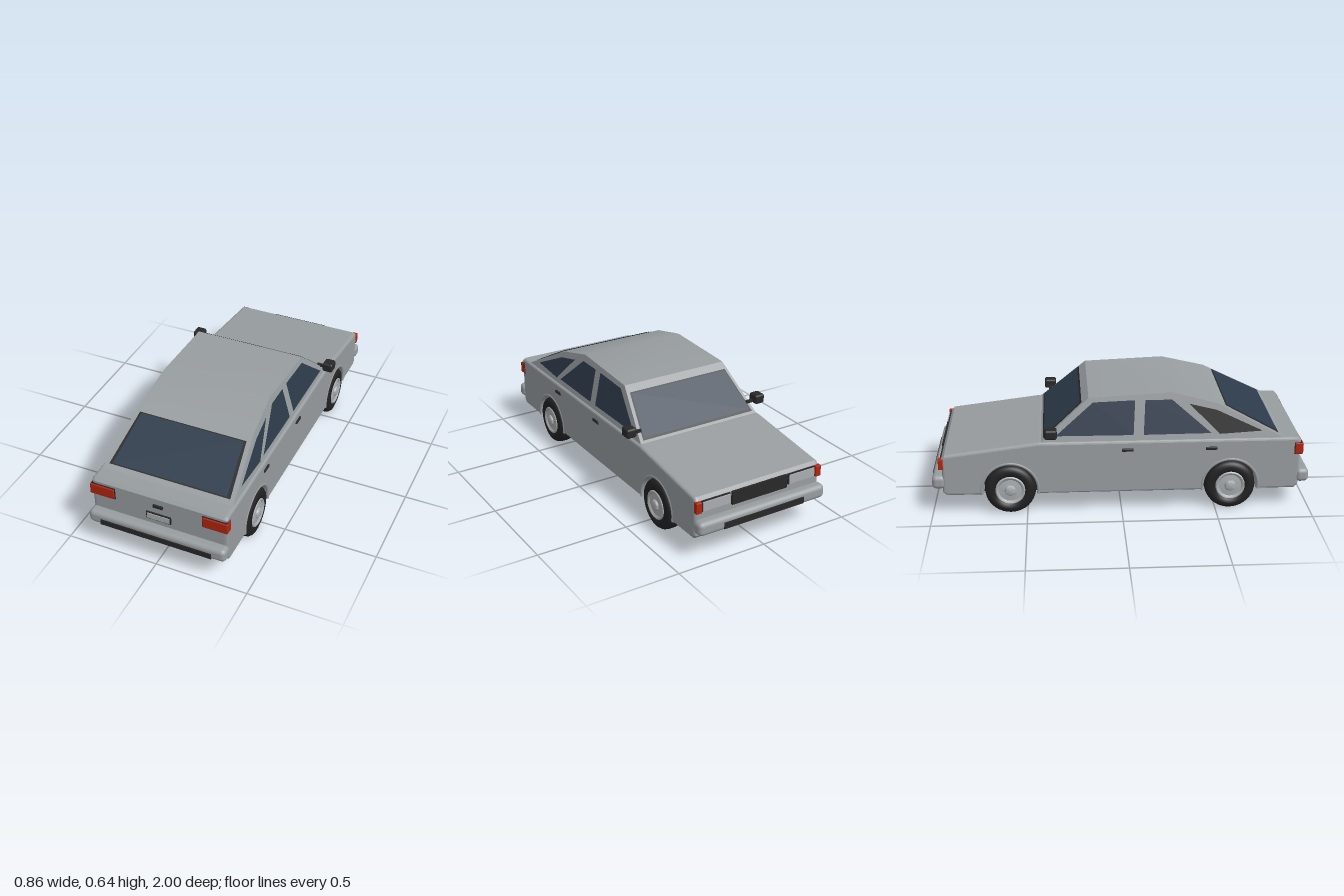
import * as THREE from 'three';
import { toCreasedNormals } from 'three/addons/utils/BufferGeometryUtils.js';
import { RoundedBoxGeometry } from 'three/addons/geometries/RoundedBoxGeometry.js';

const mat = (name, color, extra = {}) => new THREE.MeshStandardMaterial({ name, color, ...extra });

export function createModel() {
  const car = new THREE.Group();
  car.name = 'car';
  const paint = mat('bodyGrey', 0x989da0);
  const trim = mat('blackTrim', 0x282828, { side: THREE.DoubleSide });
  const glass = mat('blueGlass', 0x2e3b4c, { side: THREE.DoubleSide });
  const red = mat('lampRed', 0xb02510);
  const rubber = mat('tyreBlack', 0x222222);
  const light = mat('lightGrey', 0xa9adaf);

  const add = (name, geo, material, parent = car) => {
    const mesh = new THREE.Mesh(geo, material);
    mesh.name = name;
    parent.add(mesh);
    return mesh;
  };
  // Box given by its lower and upper limits, with optional rounded edges
  const box = (name, material, x0, x1, y0, y1, z0, z1, r = 0) => {
    const s = [x1 - x0, y1 - y0, z1 - z0];
    const geo = r ? new RoundedBoxGeometry(...s, 3, r) : new THREE.BoxGeometry(...s);
    const mesh = add(name, geo, material);
    mesh.position.set((x0 + x1) / 2, (y0 + y1) / 2, (z0 + z1) / 2);
    return mesh;
  };
  // The same box on the right and the left
  const pair = (name, material, x0, x1, ...rest) => {
    box(name + 'Left', material, x0, x1, ...rest);
    box(name + 'Right', material, -x1, -x0, ...rest);
  };
  // Flat convex panel through the given corners
  const panel = (name, material, pts) => {
    const geo = new THREE.BufferGeometry().setFromPoints(pts.map((p) => new THREE.Vector3(...p)));
    const idx = [];
    for (let i = 1; i < pts.length - 1; i++) idx.push(0, i, i + 1);
    geo.setIndex(idx);
    geo.computeVertexNormals();
    // Turn the panel so that its front looks away from the car's middle
    const n = new THREE.Vector3().fromBufferAttribute(geo.attributes.normal, 0);
    if (n.dot(new THREE.Vector3(pts[0][0], pts[0][1] - 0.3, pts[0][2])) < 0) {
      geo.setIndex(idx.reverse());
      geo.computeVertexNormals();
    }
    return add(name, geo, material);
  };

  // Lower body: side profile with wheel arches, extruded across the width
  const axles = [-0.587, 0.576], wheelY = 0.135;
  const side = new THREE.Shape();
  side.moveTo(-0.94, 0.13);
  side.lineTo(-0.92, 0.11);
  for (const z of axles) side.absarc(z, wheelY, 0.142, Math.PI + 0.177, -0.177, true);
  for (const [z, y] of [[0.92, 0.11], [0.94, 0.13], [0.945, 0.385], [0.93, 0.4],
    [-0.43, 0.4], [-0.925, 0.338], [-0.94, 0.322]]) side.lineTo(z, y);
  side.closePath();
  const bodyGeo = new THREE.ExtrudeGeometry(side, {
    depth: 0.71, bevelEnabled: true, bevelThickness: 0.018, bevelSize: 0.014,
    bevelOffset: -0.014, bevelSegments: 3, curveSegments: 20,
  });
  bodyGeo.translate(0, 0, -0.355).rotateY(-Math.PI / 2);
  add('lowerBody', bodyGeo, paint);

  // Cabin: side profile leaning inward towards the roof
  const sideX = (y) => 0.36 - (y - 0.4) * 0.24;
  const cab = new THREE.Shape([[0.86, 0.395], [0.505, 0.58], [0.265, 0.64], [-0.17, 0.62], [-0.425, 0.395]]
    .map((p) => new THREE.Vector2(...p)));
  let cabGeo = new THREE.ExtrudeGeometry(cab, { depth: 2, bevelEnabled: false });
  cabGeo.translate(0, 0, -1).rotateY(-Math.PI / 2);
  const pos = cabGeo.attributes.position;
  for (let i = 0; i < pos.count; i++) pos.setX(i, Math.sign(pos.getX(i)) * sideX(pos.getY(i)));
  cabGeo = toCreasedNormals(cabGeo, 0.5);
  add('cabin', cabGeo, paint);

  // Rear window and windscreen: dark surround with glass over it
  const rearZ = (y) => 0.86 - ((y - 0.395) / 0.185) * 0.355;
  const frontZ = (y) => -0.425 + ((y - 0.395) / 0.225) * 0.255;
  const screen = (name, material, zAt, off, y0, x0, y1, x1) => {
    const p = (x, y) => [x, y + off, zAt(y)];
    panel(name, material, [p(-x0, y0), p(x0, y0), p(x1, y1), p(-x1, y1)]);
  };
  screen('rearWindowSurround', trim, rearZ, 0.004, 0.412, 0.334, 0.557, 0.298);
  screen('rearWindow', glass, rearZ, 0.008, 0.414, 0.316, 0.553, 0.286);
  screen('windscreenSurround', trim, frontZ, 0.004, 0.408, 0.34, 0.588, 0.297);
  screen('windscreen', glass, frontZ, 0.009, 0.414, 0.33, 0.58, 0.289);

  // Side windows as (z, y) outlines laid on the leaning cabin side
  const windows = {
    quarterWindow: [[0.74, 0.437], [0.515, 0.425], [0.355, 0.582], [0.5, 0.548]],
    rearDoorWindow: [[0.47, 0.43], [0.115, 0.428], [0.125, 0.605], [0.265, 0.605]],
    frontDoorWindow: [[0.062, 0.428], [-0.345, 0.43], [-0.147, 0.598], [0.072, 0.605]],
  };
  for (const s of [-1, 1]) {
    for (const [name, pts] of Object.entries(windows)) {
      const m = name === 'quarterWindow' && s < 0 ? trim : glass;
      panel(name + (s > 0 ? 'Left' : 'Right'), m, pts.map(([z, y]) => [s * (sideX(y) + 0.005), y, z]));
    }
  }

  // Underbody, also closing the inside of the wheel arches
  box('underbody', trim, -0.26, 0.26, 0.082, 0.3, -0.83, 0.835);

  // Bumpers with dark strips
  box('rearBumper', paint, -0.38, 0.38, 0.145, 0.22, 0.925, 0.995, 0.025);
  box('rearBumperStrip', trim, -0.307, 0.307, 0.156, 0.187, 0.98, 1.0);
  box('frontBumper', paint, -0.38, 0.38, 0.15, 0.225, -0.995, -0.925, 0.025);
  box('frontBumperStrip', trim, -0.24, 0.24, 0.162, 0.196, -1.0, -0.98);

  // Tail: lamps, boot handle and number plate
  pair('tailLampSurround', trim, 0.24, 0.374, 0.306, 0.372, 0.91, 0.95);
  pair('tailLamp', red, 0.243, 0.378, 0.309, 0.369, 0.914, 0.957, 0.004);
  box('bootHandle', trim, -0.027, 0.027, 0.337, 0.35, 0.93, 0.956);
  box('plateSurround', trim, -0.068, 0.068, 0.25, 0.293, 0.93, 0.95);
  box('plate', light, -0.062, 0.062, 0.256, 0.287, 0.94, 0.954);

  // Nose: grille, headlamps and corner lamps
  box('grille', trim, -0.165, 0.165, 0.25, 0.322, -0.952, -0.92);
  pair('headlampSurround', trim, 0.175, 0.34, 0.262, 0.32, -0.948, -0.92);
  pair('headlamp', light, 0.18, 0.335, 0.267, 0.315, -0.955, -0.92);
  pair('cornerLamp', red, 0.343, 0.376, 0.26, 0.32, -0.957, -0.932, 0.004);

  // Door handles and mirrors
  pair('rearDoorHandle', trim, 0.365, 0.381, 0.343, 0.359, 0.44, 0.5, 0.004);
  pair('frontDoorHandle', trim, 0.365, 0.381, 0.343, 0.359, 0.0, 0.06, 0.004);
  pair('mirrorStalk', trim, 0.33, 0.38, 0.444, 0.458, -0.378, -0.362);
  pair('mirror', trim, 0.37, 0.428, 0.435, 0.487, -0.402, -0.337, 0.012);

  // Wheels: lathed tyre and hub turned onto the x axis, with an arch lip
  const lathe = (pts, n = 40) => new THREE.LatheGeometry(pts.map((p) => new THREE.Vector2(...p)), n);
  const tyreGeo = lathe([[0.06, -0.05], [0.105, -0.05], [0.123, -0.044], [0.132, -0.032], [0.135, -0.015],
    [0.135, 0.015], [0.132, 0.032], [0.123, 0.044], [0.105, 0.05], [0.08, 0.05], [0.076, 0.03]]);
  const hubGeo = toCreasedNormals(lathe([[0.0, -0.045], [0.078, -0.045], [0.078, 0.05], [0.073, 0.054],
    [0.066, 0.052], [0.06, 0.046], [0.03, 0.049], [0.026, 0.058], [0.018, 0.062], [0, 0.062]]), 0.6);
  const lipGeo = new THREE.TorusGeometry(0.15, 0.009, 8, 28, Math.PI + 0.3);
  lipGeo.rotateZ(-0.15).rotateY(Math.PI / 2);
  for (const s of [-1, 1]) {
    for (const z of axles) {
      const wheel = new THREE.Group();
      wheel.name = (z < 0 ? 'front' : 'rear') + 'Wheel' + (s > 0 ? 'Left' : 'Right');
      add('tyre', tyreGeo, rubber, wheel);
      add('hub', hubGeo, light, wheel);
      wheel.rotation.z = -s * Math.PI / 2;
      wheel.position.set(s * 0.327, wheelY, z);
      car.add(wheel);
      add('archLip', lipGeo, paint).position.set(s * 0.367, wheelY, z);
    }
  }
  return car;
}
